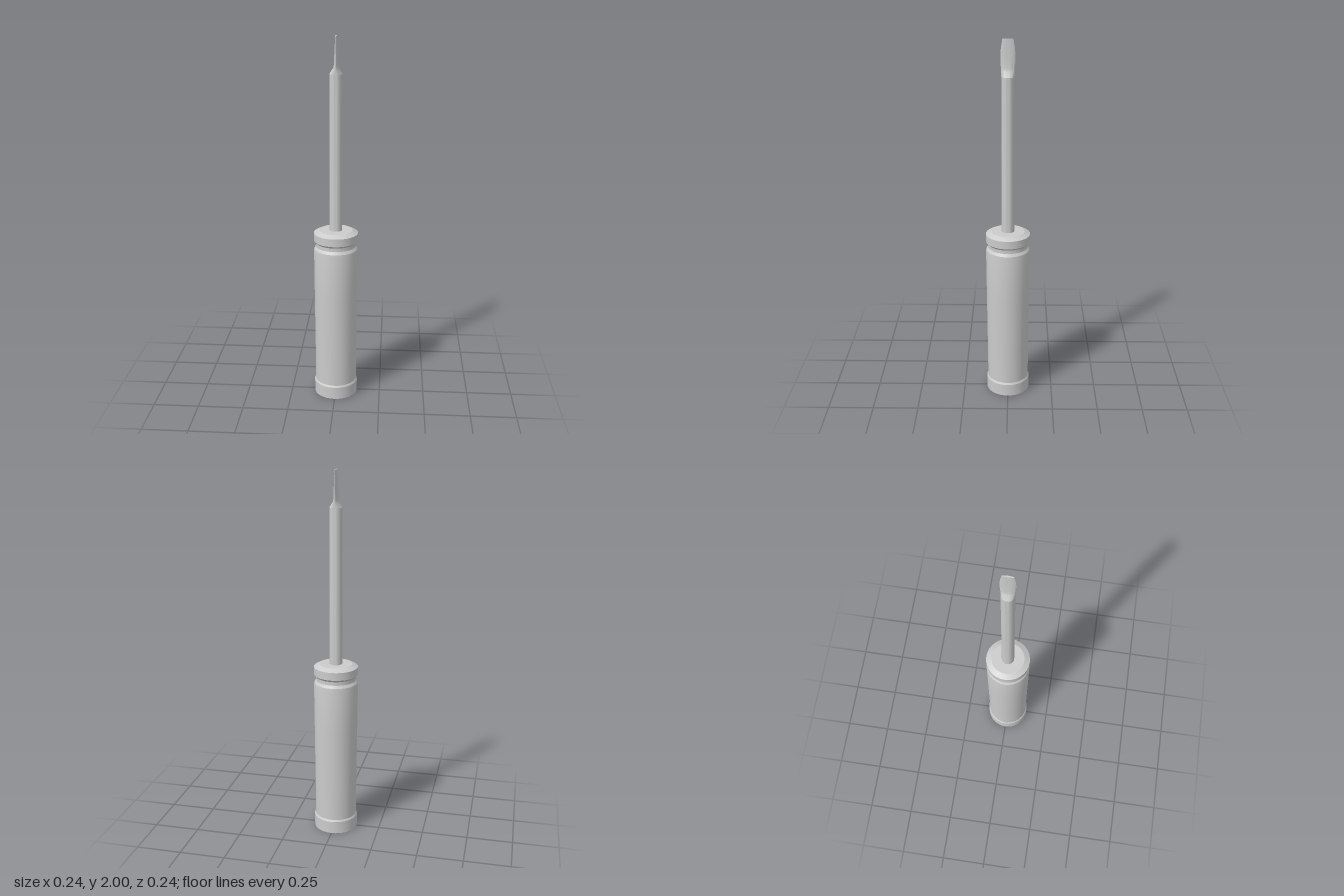
import * as THREE from 'three';
import { toCreasedNormals } from 'three/addons/utils/BufferGeometryUtils.js';

const SIDES = 32;
const material = new THREE.MeshStandardMaterial({ color: 0xcccccc });

// Lofts elliptical sections [y, half width in x, half width in z], listed from bottom to top.
function loft(name, sections) {
  const geometry = new THREE.LatheGeometry(sections.map(([y, , rz]) => new THREE.Vector2(rz, y)), SIDES);
  const position = geometry.attributes.position;
  for (let i = 0; i < position.count; i++) {
    const [, rx, rz] = sections[i % sections.length];
    if (rz > 0) position.setX(i, position.getX(i) * rx / rz);
  }
  const mesh = new THREE.Mesh(toCreasedNormals(geometry, 0.4), material);
  mesh.name = name;
  return mesh;
}

// Round part from [y, radius] points.
const turned = (name, profile) => loft(name, profile.map(([y, r]) => [y, r, r]));

export function createModel() {
  const model = new THREE.Group();
  model.name = 'screwdriver';

  // Grip: end cap, slightly flared body, finger groove and bevelled collar
  model.add(turned('handle', [
    [0, 0], [0, 0.12], [0.07, 0.12], [0.08, 0.114],
    [0.25, 0.115], [0.6, 0.118], [0.85, 0.12], [0.865, 0.118],
    [0.88, 0.108], [0.9, 0.108],
    [0.912, 0.12], [0.955, 0.12], [0.97, 0.09], [0.97, 0],
  ]));

  // Round steel shaft
  model.add(turned('shaft', [[0.96, 0], [0.96, 0.034], [1.81, 0.034]]));

  // Flattened blade, swelling sideways before the narrow tip
  model.add(loft('blade', [
    [1.81, 0.034, 0.034], [1.84, 0.014, 0.035], [1.855, 0.011, 0.036],
    [1.91, 0.008, 0.0385], [1.95, 0.006, 0.036], [2, 0.004, 0.028], [2, 0, 0],
  ]));

  return model;
}
